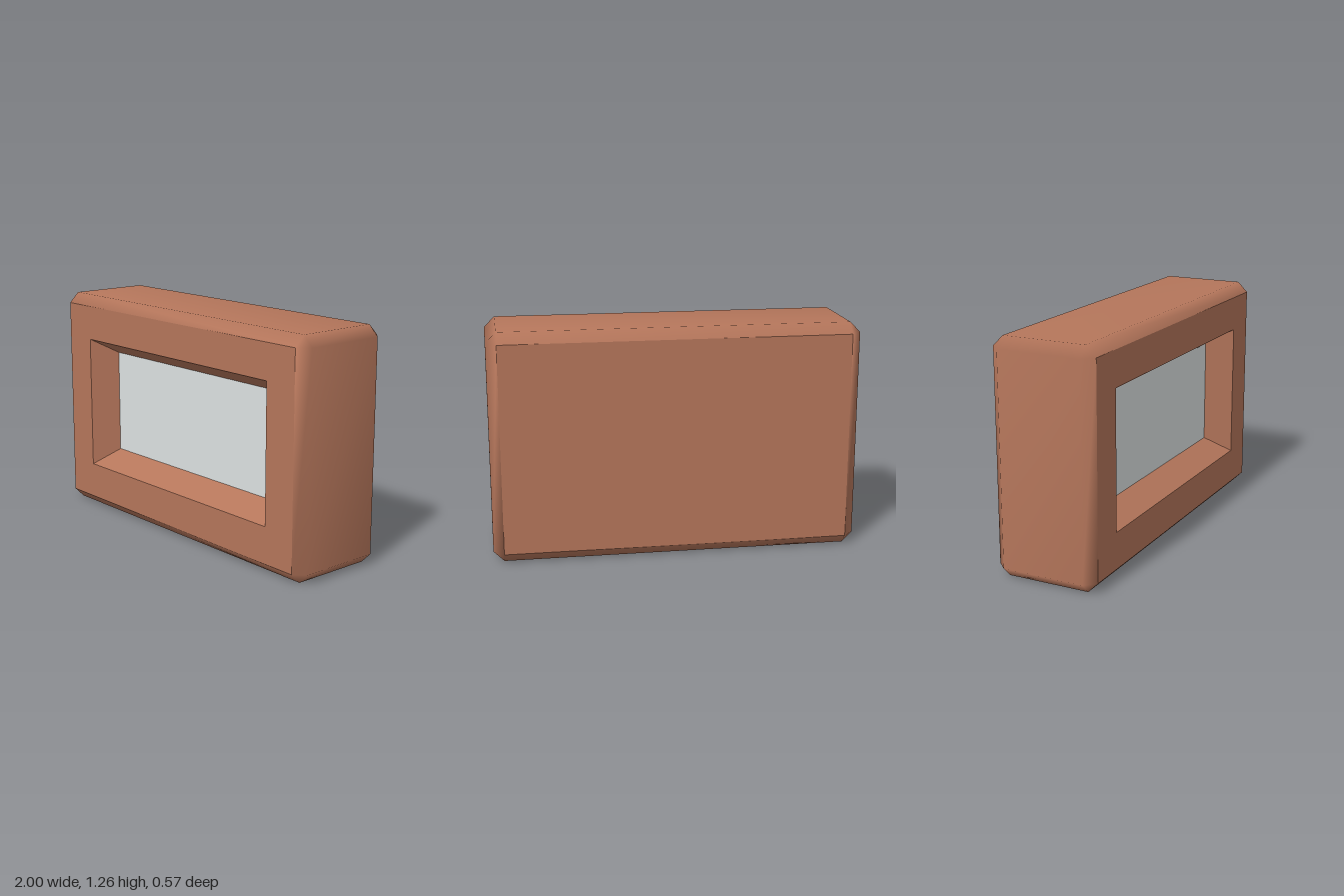
import * as THREE from 'three';

const W = 1, H = 1.257, D = 0.286, C = 0.057; // half width, height, half depth, chamfer

// Corners of a rectangle, counter-clockwise as seen from the front
const rect = (x, y0, y1, z) => [[x, y0, z], [x, y1, z], [-x, y1, z], [-x, y0, z]];

function build(points, index) {
  const g = new THREE.BufferGeometry();
  g.setAttribute('position', new THREE.Float32BufferAttribute(points.flat(), 3));
  g.setIndex(index);
  return g;
}

// Smooth band around the body: plain rectangles at the ends, octagons between
function bandGeometry() {
  const points = [], rings = [];
  const addRing = (pts, map) => {
    const base = points.length;
    points.push(...pts);
    rings.push(map.map((i) => base + i));
  };
  const octagon = (z) => [
    [W - C, 0, z], [W, C, z], [W, H - C, z], [W - C, H, z],
    [C - W, H, z], [-W, H - C, z], [-W, C, z], [C - W, 0, z],
  ];
  const corner = [0, 0, 1, 1, 2, 2, 3, 3], all = [0, 1, 2, 3, 4, 5, 6, 7];
  addRing(rect(W - C, C, H - C, D), corner);
  addRing(octagon(D - C), all);
  addRing(octagon(C - D), all);
  addRing(rect(W - C, C, H - C, -D), corner);

  const index = [];
  for (let r = 0; r < 3; r++) {
    for (let i = 0; i < 8; i++) {
      const j = (i + 1) % 8, A = rings[r], B = rings[r + 1];
      if (B[i] !== B[j]) index.push(A[i], B[i], B[j]);
      if (A[i] !== A[j]) index.push(A[i], B[j], A[j]);
    }
  }
  const g = build(points, index);
  g.computeVertexNormals();
  return g;
}

// Four sloping walls with sharp corners
function recessGeometry(outer, inner) {
  const points = [], index = [];
  for (let i = 0; i < 4; i++) {
    const j = (i + 1) % 4, b = points.length;
    points.push(outer[i], outer[j], inner[j], inner[i]);
    index.push(b, b + 1, b + 2, b, b + 2, b + 3);
  }
  const g = build(points, index);
  g.computeVertexNormals();
  return g;
}

export function createModel() {
  const group = new THREE.Group();
  group.name = 'framedBox';
  const brown = new THREE.MeshStandardMaterial({ color: 0xb5765b });
  brown.name = 'casing brown';
  const grey = new THREE.MeshStandardMaterial({ color: 0xdde2e2 });
  grey.name = 'panel grey';
  const add = (name, geometry, material) => {
    const mesh = new THREE.Mesh(geometry, material);
    mesh.name = name;
    group.add(mesh);
    return mesh;
  };

  // Casing sides with chamfered edges
  add('casingSides', bandGeometry(), brown);

  // Front face with the window opening
  const outer = rect(0.747, 0.257, 1.008, D);
  const inner = rect(0.665, 0.342, 0.925, D - 0.143);
  const to2 = (p) => new THREE.Vector2(p[0], p[1]);
  const face = new THREE.Shape(rect(W - C, C, H - C, D).map(to2));
  face.holes.push(new THREE.Path(outer.map(to2)));
  add('frontFrame', new THREE.ShapeGeometry(face), brown).position.z = D;

  // Sloping recess and the panel at its bottom
  add('recessWalls', recessGeometry(outer, inner), brown);
  add('panel', new THREE.ShapeGeometry(new THREE.Shape(inner.map(to2))), grey).position.z = D - 0.143;

  // Flat back
  const back = add('backFace', new THREE.PlaneGeometry(2 * (W - C), H - 2 * C), brown);
  back.position.set(0, H / 2, -D);
  back.rotation.y = Math.PI;

  return group;
}
